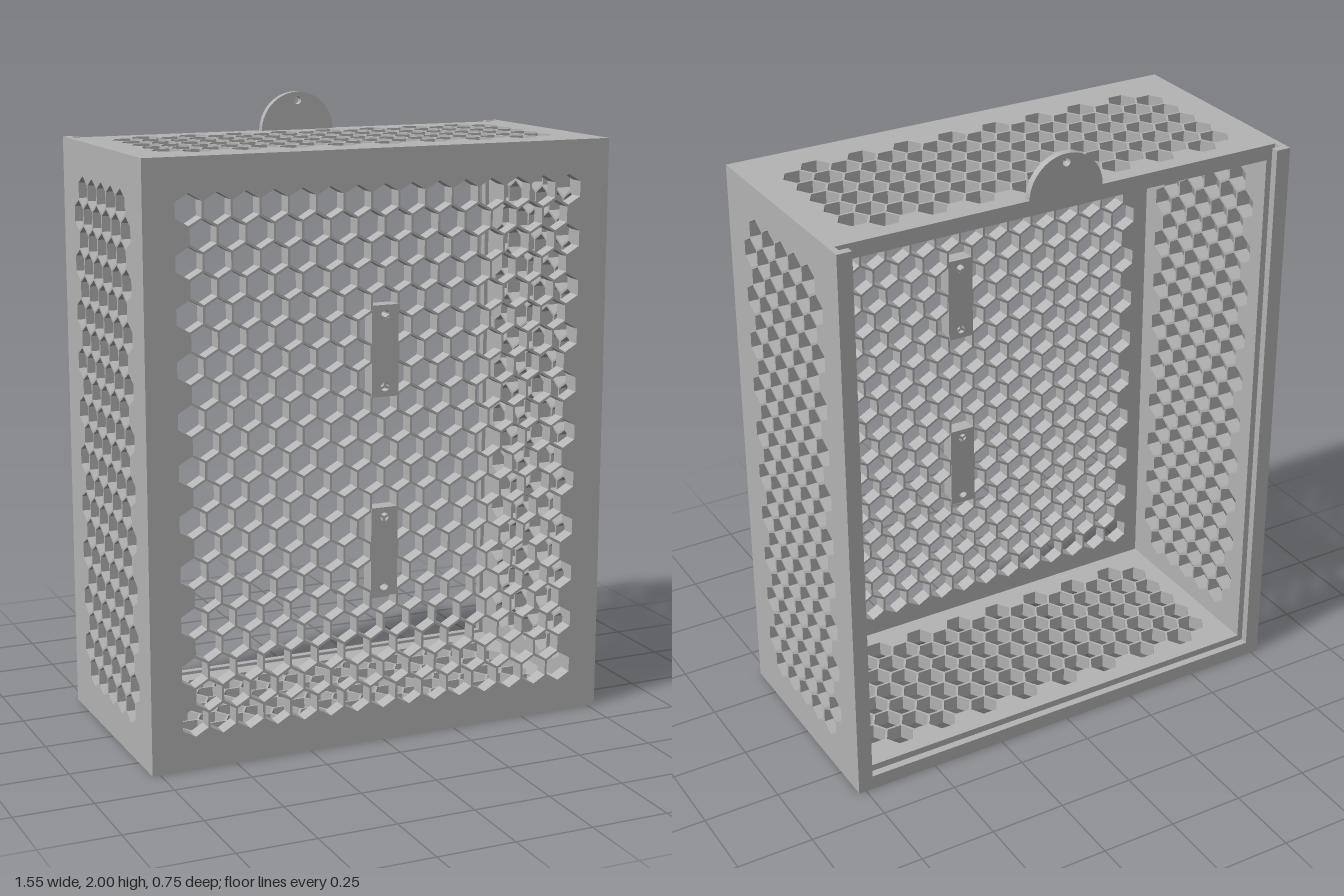
import * as THREE from 'three';

const W = 0.775, H = 1.877, D = 0.375, T = 0.049;   // half width, height, half depth, wall thickness
const PITCH = 0.0905, ROW = PITCH * Math.sqrt(3) / 2, HEX_R = 0.048;
const SLOT_FRONT = -0.324, SLOT_BACK = -0.35, SLOT_SKIN = 0.02; // groove for a sliding back panel

export function createModel() {
  const group = new THREE.Group();
  const grey = new THREE.MeshStandardMaterial({ color: 0xb4b4b4 });

  const add = (name, geometry, x = 0, y = 0, z = 0) => {
    const mesh = new THREE.Mesh(geometry, grey);
    mesh.name = name;
    mesh.position.set(x, y, z);
    group.add(mesh);
    return mesh;
  };

  // Box given by its lower and upper limits on each axis
  const block = (name, x0, x1, y0, y1, z0, z1) =>
    add(name, new THREE.BoxGeometry(x1 - x0, y1 - y0, z1 - z0), (x0 + x1) / 2, (y0 + y1) / 2, (z0 + z1) / 2);

  const rectangle = (u0, u1, v0, v1) => new THREE.Shape([
    new THREE.Vector2(u0, v0), new THREE.Vector2(u1, v0),
    new THREE.Vector2(u1, v1), new THREE.Vector2(u0, v1),
  ]);

  const roundHole = (x, y, r) => new THREE.Path().absarc(x, y, r, 0, Math.PI * 2, true);

  // Rows of hexagons run along u and stack along v; row lengths alternate
  const honeycomb = (shape, rows, evenCount, oddCount) => {
    for (let r = 0; r < rows; r++) {
      const count = r % 2 ? oddCount : evenCount;
      const v = (r - (rows - 1) / 2) * ROW;
      for (let c = 0; c < count; c++) {
        const u = (c - (count - 1) / 2) * PITCH;
        const points = [];
        for (let k = 0; k < 6; k++) {
          const a = Math.PI / 2 - k * Math.PI / 3;
          points.push(new THREE.Vector2(u + HEX_R * Math.cos(a), v + HEX_R * Math.sin(a)));
        }
        shape.holes.push(new THREE.Path(points));
      }
    }
    return shape;
  };

  const extrude = (shape, depth) =>
    new THREE.ExtrudeGeometry(shape, { depth, bevelEnabled: false, curveSegments: 24 });

  const X = new THREE.Vector3(1, 0, 0), Y = new THREE.Vector3(0, 1, 0), Z = new THREE.Vector3(0, 0, 1);
  const orient = (geometry, u, v) =>
    geometry.applyMatrix4(new THREE.Matrix4().makeBasis(u, v, u.clone().cross(v)));

  // Front wall
  const front = honeycomb(rectangle(-W, W, -H / 2, H / 2), 21, 15, 14);
  add('frontPanel', extrude(front, T), 0, H / 2, D - T);

  // Side walls with the vertical groove and rear rail
  for (const [side, s] of [['left', 1], ['right', -1]]) {
    const wall = honeycomb(rectangle(SLOT_FRONT, D - T, -H / 2, H / 2), 21, 5, 6);
    add(side + 'Panel', orient(extrude(wall, T), Z, Y), s > 0 ? W : -W + T, H / 2, 0);
    const span = (inner) => (s > 0 ? [inner, W] : [-W, -inner]);
    block(side + 'GrooveSkin', ...span(W - SLOT_SKIN), 0, H, SLOT_BACK, SLOT_FRONT);
    block(side + 'RearRail', ...span(W - T), 0, H, -D, SLOT_BACK);
  }

  // Top and bottom walls
  const inner = W - T;
  for (const [name, y] of [['topPanel', H - T], ['bottomPanel', 0]]) {
    const slab = honeycomb(rectangle(SLOT_FRONT, D - T, -inner, inner), 17, 5, 6);
    add(name, orient(extrude(slab, T), Z, X), 0, y, 0);
  }

  // Floor groove and rear lip
  block('bottomGrooveSkin', -inner, inner, 0, SLOT_SKIN, SLOT_BACK, SLOT_FRONT);
  block('bottomRearLip', -inner, inner, 0, T, -D, SLOT_BACK);

  // Screw plates set in the front wall
  for (const [name, y] of [['upperScrewPlate', 1.257], ['lowerScrewPlate', 0.62]]) {
    const plate = rectangle(-0.045, 0.045, -0.143, 0.143);
    plate.holes.push(roundHole(0, 0.112, 0.014), roundHole(0, -0.112, 0.014));
    add(name, extrude(plate, T + 0.002), 0, y, D - T - 0.001);
  }

  // Half-round hanging tab
  const tab = new THREE.Shape().absarc(0, 0, 0.126, 0, Math.PI, false);
  tab.closePath();
  tab.holes.push(roundHole(0, 0.098, 0.013));
  add('hangingTab', extrude(tab, 0.024), 0, 2 - 0.126, SLOT_FRONT);

  return group;
}
